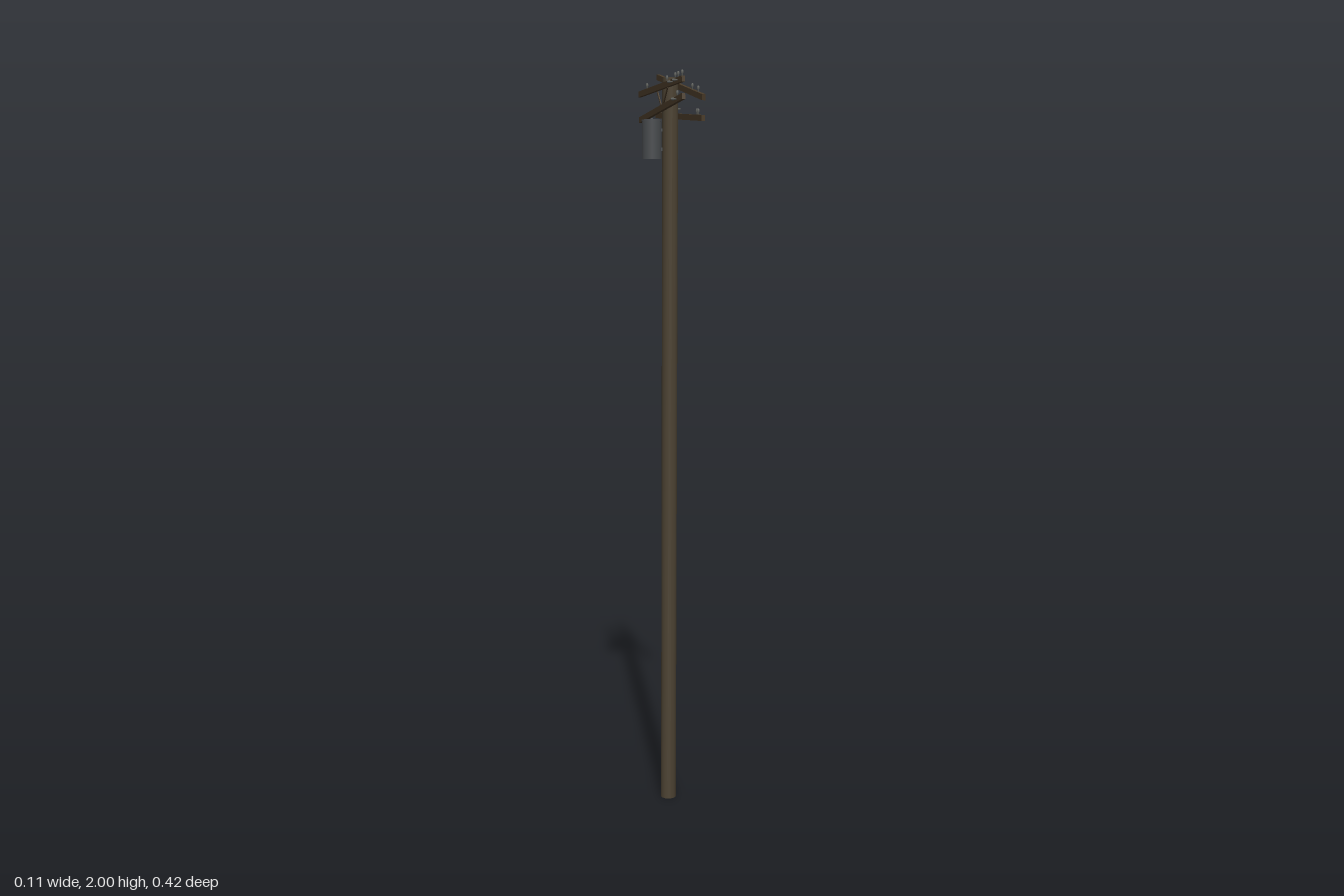
import * as THREE from 'three';

export function createModel() {
  const model = new THREE.Group();
  const mat = (name, color) => Object.assign(new THREE.MeshStandardMaterial({ color }), { name });
  const poleWood = mat('pole wood', 0x4d4333);
  const armWood = mat('crossarm wood', 0x4a3b28);
  const tankGrey = mat('tank grey', 0x484b4e);
  const pinGrey = mat('insulator grey', 0x5c5e5a);

  const add = (name, geometry, material, x, y, z, parent = model) => {
    const mesh = new THREE.Mesh(geometry, material);
    mesh.name = name;
    mesh.position.set(x, y, z);
    parent.add(mesh);
    return mesh;
  };

  // Straight bar between two points
  const bar = (name, a, b, w, h, material) => {
    const p = new THREE.Vector3(...a), q = new THREE.Vector3(...b);
    const mid = p.clone().add(q).multiplyScalar(0.5);
    const mesh = add(name, new THREE.BoxGeometry(w, h, p.distanceTo(q)), material, mid.x, mid.y, mid.z);
    mesh.lookAt(q);
    return mesh;
  };

  // Pole, leaning slightly forward
  const pole = new THREE.CylinderGeometry(0.021, 0.021, 1.98, 16);
  pole.translate(0, 0.99, 0);
  const pos = pole.attributes.position;
  for (let i = 0; i < pos.count; i++) pos.setZ(i, pos.getZ(i) - 0.014 * (1 - pos.getY(i) / 1.98));
  pole.computeVertexNormals();
  add('pole', pole, poleWood, 0.016, 0, 0);

  // Tilted crossarms: x, front z and y, back z and y, then z of upright and sideways pins
  const arms = [
    { x: -0.01, front: [0.203, 1.967], back: [-0.202, 1.945], pins: [0.192, 0.158, 0.132, 0.058, -0.13], side: [0.166, 0.123] },
    { x: 0.041, front: [0.211, 1.921], back: [-0.2, 1.992], pins: [0.165, 0.115], side: [] },
    { x: -0.01, front: [0.204, 1.924], back: [-0.195, 1.876], pins: [0.15], side: [0.155] },
    { x: 0.041, front: [0.207, 1.87], back: [-0.212, 1.89], pins: [0.165, 0.155, -0.06, -0.13, -0.195], side: [] },
  ];
  const pinShape = new THREE.LatheGeometry(
    [[0, 0], [0.002, 0], [0.002, 0.008], [0.0038, 0.009], [0.003, 0.016], [0, 0.017]]
      .map(([r, y]) => new THREE.Vector2(r, y)), 8);
  for (const { x, front, back, pins, side } of arms) {
    bar('crossarm', [x, front[1], front[0]], [x, back[1], back[0]], 0.009, 0.015, armWood);
    const yAt = z => back[1] + (front[1] - back[1]) * (z - back[0]) / (front[0] - back[0]);
    for (const z of pins) add('insulator', pinShape, pinGrey, x, yAt(z) + 0.006, z);
    for (const z of side) add('sideInsulator', pinShape, pinGrey, x - 0.002, yAt(z), z).rotation.z = Math.PI / 2;
  }

  // Diagonal braces under the upper arm
  for (const s of [-1, 1]) {
    bar('brace', [-0.006, 1.952, s * 0.05], [-0.006, 1.905, s * 0.006], 0.003, 0.004, armWood);
  }
  // Through bolts joining the arms to the pole
  for (const y of [1.955, 1.9]) bar('throughBolt', [-0.014, y, 0], [0.044, y, 0], 0.005, 0.005, pinGrey);

  // Transformer tanks with lid, bushing and brackets to the pole
  for (const [x, z] of [[-0.028, -0.022], [0.028, -0.055]]) {
    const tank = new THREE.Group();
    tank.name = 'transformer';
    tank.position.set(x, 1.77, z);
    model.add(tank);
    add('tank', new THREE.CylinderGeometry(0.0265, 0.0265, 0.098, 24), tankGrey, 0, 0.049, 0, tank);
    add('lid', new THREE.CylinderGeometry(0.0275, 0.0275, 0.005, 24), tankGrey, 0, 0.1, 0, tank);
    add('bushing', new THREE.CylinderGeometry(0.003, 0.004, 0.004, 10), tankGrey, 0, 0.104, 0, tank);
    for (const y of [1.795, 1.845]) bar('tankBracket', [x, y, z], [0.016, y, -0.002], 0.012, 0.008, tankGrey);
  }
  return model;
}
